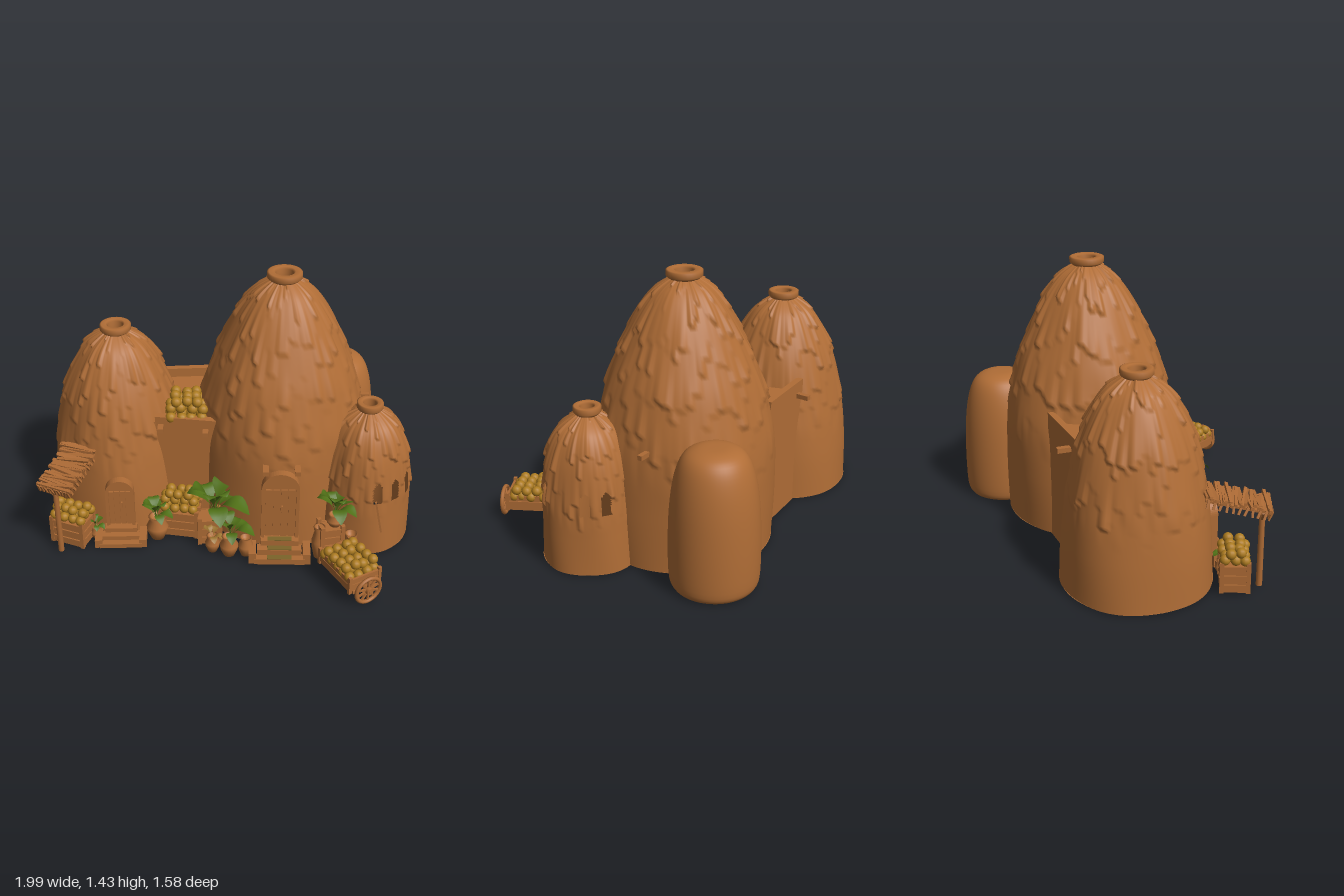
import * as THREE from 'three';
import { mergeVertices } from 'three/addons/utils/BufferGeometryUtils.js';

const mat = (name, color) => {
  const m = new THREE.MeshStandardMaterial({ color, side: THREE.DoubleSide });
  m.name = name;
  return m;
};
const clay = mat('clay', 0xb06d36), wood = mat('wood', 0xac6a35);
const fruit = mat('fruit', 0xac7b20), leafGreen = mat('leaf', 0x4f6f16);
const dryLeaf = mat('dryLeaf', 0x9c7430), moss = mat('mossyMat', 0x7c6429);

let seed = 7;
const rnd = () => (seed = (seed * 16807) % 2147483647) / 2147483647;
const hash = (a, b) => { const s = Math.sin(a * 12.99 + b * 78.23) * 43758.55; return s - Math.floor(s); };

function add(parent, geo, material, name, x = 0, y = 0, z = 0, rx = 0, ry = 0, rz = 0) {
  const m = new THREE.Mesh(geo, material);
  m.name = name;
  m.position.set(x, y, z);
  m.rotation.set(rx, ry, rz);
  parent.add(m);
  return m;
}
function group(parent, name, x, y, z, ry = 0) {
  const g = new THREE.Group();
  g.name = name;
  g.position.set(x, y, z);
  g.rotation.y = ry;
  parent.add(g);
  return g;
}
const box = (p, name, w, h, d, x, y, z, rx, ry, rz) => add(p, new THREE.BoxGeometry(w, h, d), wood, name, x, y, z, rx, ry, rz);
const lathe = (pts, n) => new THREE.LatheGeometry(pts.map(p => new THREE.Vector2(p[0], p[1])), n);

// Hollow beehive dome with long ragged clay runs, optional arched windows
function dome(parent, name, x, z, profile, ringR, windows = []) {
  const g = group(parent, name, x, 0, z);
  const curve = new THREE.SplineCurve(profile.map(p => new THREE.Vector2(p[0], p[1])));
  const rows = 84, cols = 160, top = profile[profile.length - 1][1];
  let geo = new THREE.LatheGeometry(curve.getSpacedPoints(rows), cols);
  geo.deleteAttribute('uv');
  geo.deleteAttribute('normal');
  geo = mergeVertices(geo, 1e-5);
  const pos = geo.attributes.position, v = new THREE.Vector3();
  for (let i = 0; i < pos.count; i++) {
    v.fromBufferAttribute(pos, i);
    const a = Math.atan2(v.x, v.z), r = Math.hypot(v.x, v.z);
    const c = Math.round((a / (2 * Math.PI) + 0.5) * 64) % 64;
    const f = v.y / (0.2 + 0.12 * hash(c, 5)) + hash(c, 1) * 7, saw = 1 - (f - Math.floor(f));
    const start = top * (0.26 + 0.16 * hash(c, 9));
    const fade = THREE.MathUtils.smoothstep(v.y, start, start + top * 0.15);
    const d = fade * (saw * saw * 0.02 * hash(c, Math.floor(f)) - 0.004) + 0.004 * Math.sin(a * 5 + v.y * 4);
    pos.setXYZ(i, v.x * (1 + d / r), v.y, v.z * (1 + d / r));
  }
  const idx = geo.index.array, keep = [];
  for (let i = 0; i < idx.length; i += 3) {
    v.set(0, 0, 0);
    for (let k = 0; k < 3; k++) v.add(new THREE.Vector3().fromBufferAttribute(pos, idx[i + k]));
    v.divideScalar(3);
    const a = Math.atan2(v.x, v.z) * 180 / Math.PI;
    const open = windows.some(w => Math.abs(a - w) < 6 && v.y > 0.335 && v.y < 0.45 - Math.abs(a - w) ** 2 * 0.0007);
    if (!open) keep.push(idx[i], idx[i + 1], idx[i + 2]);
  }
  geo.setIndex(keep);
  geo.computeVertexNormals();
  add(g, geo, clay, 'shell');
  // Inner wall foot and smoke-hole collar
  const r0 = profile[0][0];
  add(g, lathe([[r0, 0.012], [r0 - 0.03, 0.012], [r0 - 0.03, 0.3]], 64), clay, 'wallFoot');
  const h = 0.034;
  add(g, lathe([[ringR * 0.5, -0.03], [ringR * 0.9, -0.005], [ringR, 0.004], [ringR, h - 0.004], [ringR * 0.9, h],
    [ringR * 0.6, h], [ringR * 0.5, h - 0.01], [ringR * 0.5, -0.03]], 32), clay, 'smokeHoleCollar', 0, top, 0);
}

function archShape(w, h) {
  const s = new THREE.Shape();
  s.moveTo(-w / 2, 0);
  s.lineTo(w / 2, 0);
  s.lineTo(w / 2, h - w / 2);
  s.absarc(0, h - w / 2, w / 2, 0, Math.PI);
  s.lineTo(-w / 2, 0);
  return s;
}
// Arched doorway with double plank door and entrance steps
function doorway(parent, name, x, z, w, h, y, stepW, ry) {
  const g = group(parent, name, x, 0, z, ry);
  const frame = archShape(w, h);
  frame.holes.push(archShape(w - 0.035, h - 0.018));
  add(g, new THREE.ExtrudeGeometry(frame, { depth: 0.06, bevelEnabled: false }), wood, 'doorFrame', 0, y, -0.03);
  add(g, new THREE.ExtrudeGeometry(archShape(w - 0.03, h - 0.016), { depth: 0.012, bevelEnabled: false }), wood, 'doorPanel', 0, y, -0.006);
  for (const s of [-1, 1]) {
    for (const u of [0.1, 0.3]) box(g, 'doorPlank', w * 0.17, h * 0.72, 0.012, s * w * u, y + h * 0.38, 0.01);
    box(g, 'stepCurb', 0.04, y * 0.65, 0.12, s * (stepW / 2 - 0.02), y * 0.33 + 0.008, 0.07);
  }
  box(g, 'handle', 0.008, 0.05, 0.02, 0.01, y + h * 0.45, 0.02);
  for (let i = 0; i < 3; i++) box(g, 'step', stepW * (0.62 + i * 0.1), y * (1 - i / 3), 0.05, 0, y * (1 - i / 3) / 2 + 0.008, 0.035 + i * 0.037);
  return g;
}

// Heap of round fruit stacked in layers
function fruitPile(parent, nx, nz, layers, y, r = 0.027) {
  const geo = new THREE.SphereGeometry(r, 12, 8);
  for (let l = 0; l < layers; l++) {
    const cx = nx - (l > 1 ? 1 : 0), cz = nz - (l ? 1 : 0);
    for (let i = 0; i < cx; i++)
      for (let j = 0; j < cz; j++)
        add(parent, geo, fruit, 'fruit', (i - (cx - 1) / 2) * r * 1.9 + (rnd() - 0.5) * 0.014,
          y + r * 0.8 + l * r * 1.4 + (rnd() - 0.5) * 0.008, (j - (cz - 1) / 2) * r * 1.9 + (rnd() - 0.5) * 0.014);
  }
}

// Slatted crate
function crate(parent, name, x, y, z, w, h, d, ry = 0) {
  const g = group(parent, name, x, y, z, ry);
  box(g, 'crateBody', w - 0.02, h - 0.015, d - 0.02, 0, h / 2, 0);
  for (const sx of [-1, 1]) for (const sz of [-1, 1]) box(g, 'cratePost', 0.022, h + 0.015, 0.022, sx * (w / 2 - 0.01), h / 2 + 0.008, sz * (d / 2 - 0.01));
  const n = Math.max(2, Math.round(h / 0.05));
  for (let i = 0; i < n; i++) for (const s of [-1, 1]) {
    const sy = (i + 0.5) * h / n;
    box(g, 'slat', w, h / n * 0.8, 0.008, 0, sy, s * (d / 2 - 0.006));
    box(g, 'slat', 0.008, h / n * 0.8, d, s * (w / 2 - 0.006), sy, 0);
  }
  return g;
}

function pot(parent, x, z, r, h, y = 0) {
  add(parent, lathe([[0, 0], [r * 0.6, 0], [r * 0.95, h * 0.35], [r, h * 0.55], [r * 0.65, h * 0.85],
    [r * 0.8, h], [r * 0.6, h], [r * 0.5, h * 0.85], [0, h * 0.82]], 20), clay, 'pot', x, y + 0.005, z);
}
// Broad leaves rising from one stem and drooping at the tips
function plant(parent, x, y, z, size, n, material = leafGreen) {
  const g = group(parent, 'plant', x, y, z);
  for (let i = 0; i < n; i++) {
    const geo = new THREE.PlaneGeometry(1, 1, 4, 10), p = geo.attributes.position;
    const len = size * (0.85 + rnd() * 0.3), lift = (i % 3) / 2;
    for (let k = 0; k < p.count; k++) {
      const t = p.getY(k) + 0.5, u = p.getX(k);
      const w = t < 0.25 ? 0.03 : 0.03 + 0.42 * Math.sin(Math.PI * (t - 0.25) / 0.75) ** 0.8;
      p.setXYZ(k, -u * w * len, len * ((1.5 + lift * 0.5) * t - (1.3 - lift * 0.1) * t * t) + Math.abs(u) * w * len * 0.15, len * (0.8 - lift * 0.3) * t);
    }
    geo.computeVertexNormals();
    add(g, geo, material, 'leaf', 0, 0, 0, 0, i * 2.4 + rnd() * 0.4, 0);
  }
}

function wheel(parent, z, r) {
  const g = group(parent, 'wheel', 0, r + 0.012, z);
  add(g, new THREE.TorusGeometry(r - 0.008, 0.011, 8, 28), wood, 'rim');
  add(g, new THREE.CylinderGeometry(0.02, 0.02, 0.04, 12), wood, 'hub', 0, 0, 0, Math.PI / 2);
  for (let i = 0; i < 5; i++) box(g, 'spoke', 0.011, r * 1.85, 0.009, 0, 0, 0, 0, 0, i * Math.PI / 5);
}

export function createModel() {
  const root = new THREE.Group();
  root.name = 'clayVillage';

  // Domes
  dome(root, 'mainDome', 0.285, -0.147, [[0.455, 0.01], [0.462, 0.3], [0.452, 0.6], [0.4, 0.85], [0.338, 1.02], [0.242, 1.22], [0.155, 1.34], [0.06, 1.405]], 0.092);
  dome(root, 'leftDome', -0.605, -0.175, [[0.385, 0.01], [0.374, 0.25], [0.345, 0.5], [0.3, 0.72], [0.24, 0.88], [0.16, 1.01], [0.06, 1.08]], 0.083);
  dome(root, 'smallDome', 0.74, 0.108, [[0.25, 0.01], [0.246, 0.2], [0.238, 0.4], [0.21, 0.58], [0.15, 0.71], [0.045, 0.785]], 0.07, [12, 38, 62, 125, 150]);
  const store = new THREE.SplineCurve([[0.205, 0.012], [0.222, 0.06], [0.225, 0.25], [0.215, 0.45], [0.19, 0.6], [0.15, 0.69], [0.085, 0.727], [0, 0.732]].map(p => new THREE.Vector2(...p)));
  const hollow = [[0, 0.07], [0.17, 0.06], [0.18, 0.016]].map(p => new THREE.Vector2(...p));
  add(root, new THREE.LatheGeometry([...hollow, ...store.getPoints(32)], 48), clay, 'storeDome', 0.615, 0, -0.563);

  // Linking passage between the domes: two walls and a flat roof
  add(root, new THREE.BoxGeometry(0.36, 0.025, 0.49), clay, 'linkRoof', -0.22, 0.64, -0.175);
  add(root, new THREE.BoxGeometry(0.34, 0.68, 0.04), clay, 'frontWall', -0.22, 0.345, 0.07, 0, -0.12);
  add(root, new THREE.BoxGeometry(0.38, 0.7, 0.035), clay, 'backWall', -0.22, 0.355, -0.43, 0, 0.09);
  fruitPile(group(root, 'roofFruit', -0.225, 0.652, -0.025), 4, 4, 3, 0, 0.029);
  // Projecting beam ends
  for (const [x, y, z] of [[-0.36, 0.63, 0.08], [-0.12, 0.62, 0.1], [-0.35, 0.63, -0.46], [0.2, 0.535, 0.325], [0.365, 0.535, 0.325]])
    box(root, 'beamEnd', 0.03, 0.025, 0.09, x, y, z);
  box(root, 'beamEnd', 0.09, 0.025, 0.025, 0.73, 0.645, -0.24);
  box(root, 'leaningPole', 0.01, 0.2, 0.01, 0.8, 0.25, 0.35, 0, 0, 0.2);

  // Doorways, the main one with a mossy step mat
  const mainDoor = doorway(root, 'mainDoorway', 0.28, 0.325, 0.2, 0.42, 0.1, 0.33, 0);
  for (let i = 0; i < 3; i++) add(mainDoor, new THREE.BoxGeometry(0.13, 0.004, 0.032), moss, 'stepMat', 0, 0.1 * (1 - i / 3) + 0.01, 0.042 + i * 0.037);
  doorway(root, 'leftDoorway', -0.585, 0.205, 0.155, 0.3, 0.075, 0.28, 0.05);

  // Market stall with straw awning on a single front post
  const stall = group(root, 'stall', -0.845, 0, 0.25, -0.36);
  const awning = new THREE.Group();
  awning.name = 'awning';
  awning.position.y = 0.478;
  awning.rotation.x = 0.2;
  stall.add(awning);
  box(awning, 'awningBase', 0.16, 0.01, 0.31, 0, -0.01, 0);
  for (let i = 0; i < 26; i++)
    box(awning, 'strawBundle', 0.17 + rnd() * 0.04, 0.014, 0.016, (rnd() - 0.5) * 0.02, rnd() * 0.014, -0.16 + i * 0.0128, (rnd() - 0.5) * 0.5, (rnd() - 0.5) * 0.3, (rnd() - 0.5) * 0.2);
  for (let i = 0; i < 10; i++) {
    box(awning, 'strawFringe', 0.01, 0.05, 0.008, -0.085 + i * 0.019, -0.018, 0.165, 0.2, 0, (rnd() - 0.5) * 0.6);
    for (const s of [-1, 1]) box(awning, 'strawFringe', 0.008, 0.045, 0.012, s * 0.088, -0.018, -0.14 + i * 0.031, (rnd() - 0.5) * 0.6, 0, s * 0.3);
  }
  add(stall, new THREE.CylinderGeometry(0.014, 0.016, 0.45, 10), wood, 'stallPost', -0.01, 0.235, 0.125);
  for (const s of [-1, 1]) box(stall, 'brace', 0.012, 0.1, 0.012, -0.01 + s * 0.035, 0.405, 0.125, 0, 0, s * -0.8);
  const stallCrate = crate(root, 'stallCrate', -0.845, 0.01, 0.25, 0.2, 0.15, 0.15, -0.36);
  fruitPile(stallCrate, 4, 3, 2, 0.15);

  // Fruit crates in the yard
  const yardCrate = crate(root, 'yardCrate', -0.26, 0.01, 0.17, 0.22, 0.16, 0.14, -0.15);
  fruitPile(yardCrate, 4, 3, 3, 0.16);
  crate(root, 'plantCrate', -0.1, 0.01, 0.24, 0.13, 0.16, 0.12, 0.1);
  crate(root, 'doorCrate', 0.55, 0.01, 0.365, 0.13, 0.2, 0.1, 0.2);

  // Pots and plants
  for (const [x, z, r, h] of [[-0.385, 0.23, 0.06, 0.14], [0.01, 0.37, 0.05, 0.12], [0.1, 0.37, 0.042, 0.115], [-0.08, 0.34, 0.04, 0.1], [0.66, 0.37, 0.045, 0.15], [0.49, 0.38, 0.04, 0.2], [-0.72, 0.24, 0.035, 0.07]])
    pot(root, x, z, r, h);
  pot(root, 0.57, 0.36, 0.045, 0.07, 0.2);
  plant(root, -0.39, 0.13, 0.23, 0.14, 9);
  plant(root, -0.07, 0.2, 0.27, 0.22, 10);
  plant(root, 0.02, 0.11, 0.35, 0.15, 8);
  plant(root, -0.08, 0.09, 0.35, 0.09, 5, dryLeaf);
  plant(root, 0.575, 0.26, 0.34, 0.17, 9);
  plant(root, -0.72, 0.07, 0.24, 0.08, 6);

  // Fruit cart
  const cart = group(root, 'cart', 0.635, 0, 0.595, 0.53);
  box(cart, 'cartBed', 0.18, 0.02, 0.27, 0, 0.095, 0);
  for (const s of [-1, 1]) {
    for (const y of [0.118, 0.152]) {
      box(cart, 'cartSide', 0.012, 0.03, 0.28, s * 0.09, y, 0);
      box(cart, 'cartEnd', 0.19, 0.03, 0.012, 0, y, s * 0.135);
    }
    for (const t of [-1, 1]) box(cart, 'cartPost', 0.018, 0.1, 0.018, s * 0.09, 0.13, t * 0.135);
    box(cart, 'cartBeam', 0.02, 0.02, 0.28, s * 0.06, 0.078, 0);
  }
  wheel(cart, 0.172, 0.08);
  wheel(cart, -0.12, 0.045);
  add(cart, new THREE.CylinderGeometry(0.01, 0.01, 0.1, 8), wood, 'axle', 0, 0.092, 0.145, Math.PI / 2);
  fruitPile(cart, 4, 5, 2, 0.135);
  return root;
}
